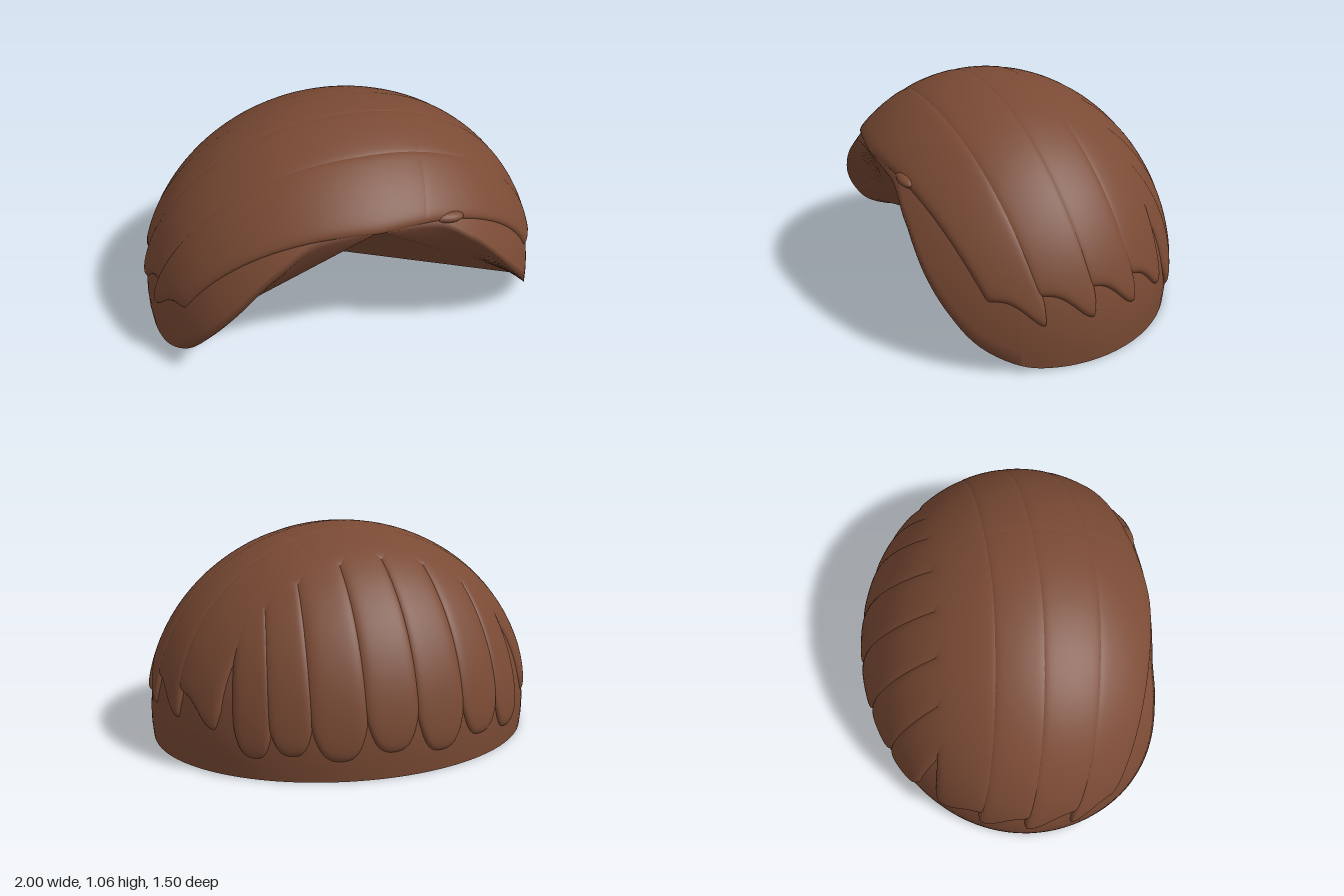
import * as THREE from 'three';

// The head is an ellipsoid centred slightly forward and up.
const C = new THREE.Vector3(0, 0.12, 0.12);
const R = new THREE.Vector3(1.01, 0.94, 0.87);
const lerp = THREE.MathUtils.lerp;
const material = new THREE.MeshStandardMaterial({ color: 0x7a4a34, roughness: 0.8, side: THREE.DoubleSide });

// Smooth grid surface from a point function f(u, v)
function sheet(name, f, nu, nv, flip = false) {
  const pos = [], index = [];
  for (let j = 0; j <= nv; j++)
    for (let i = 0; i <= nu; i++) pos.push(...f(i / nu, j / nv).toArray());
  for (let j = 0; j < nv; j++)
    for (let i = 0; i < nu; i++) {
      const a = j * (nu + 1) + i, b = a + 1, c = a + nu + 1, d = c + 1;
      if (flip) index.push(a, c, b, b, c, d);
      else index.push(a, b, c, b, d, c);
    }
  const g = new THREE.BufferGeometry();
  g.setAttribute('position', new THREE.Float32BufferAttribute(pos, 3));
  g.setIndex(index);
  g.computeVertexNormals();
  const mesh = new THREE.Mesh(g, material);
  mesh.name = name;
  return mesh;
}

// Unit direction scaled onto the head, h = 1 is the nominal surface
const onHead = (x, y, z, h) => new THREE.Vector3(x, y, z).multiplyScalar(h).multiply(R).add(C);

// Lower edge: height against azimuth in degrees, 0 = front, 180 = back
const rimCurve = new THREE.SplineCurve([
  [0, 0.76], [22, 0.715], [33, 0.6], [38, 0.52], [44, 0.4], [51, 0.27], [60, 0.13],
  [72, 0.035], [83, 0.008], [100, 0], [120, 0], [140, 0], [160, 0], [180, 0],
].map(p => new THREE.Vector2(...p)));
const SPLIT = 7 / 13; // where the rim meets the ridge at the side corner
const BASE = 0.985;

function rimAngles(t) {
  const p = rimCurve.getPoint(Math.abs(t));
  const a = THREE.MathUtils.degToRad(p.x) * Math.sign(t);
  return { a, polar: Math.acos((Math.max(p.y, 0) - C.y) / (R.y * BASE)) };
}
function basePoint(t, v) {
  const { a, polar } = rimAngles(t);
  const k = polar * v;
  return onHead(Math.sin(k) * Math.sin(a), Math.cos(k), Math.sin(k) * Math.cos(a), BASE);
}
// Straight lines from the side corners to a point on the middle plane
const corner = basePoint(SPLIT, 1);
function toCorner(x, midY, midZ) {
  const k = Math.max(0, 1 - Math.abs(x) / corner.x);
  return new THREE.Vector3(x, lerp(corner.y, midY, k), lerp(corner.z, midZ, k));
}
const ridge = x => toCorner(x, 0.25, 0.19);
const hairline = basePoint(0, 1);
const brow = x => toCorner(x, hairline.y, hairline.z);

// Rounded cross-section: full in the middle, tucked in at the borders
const round = (v, n) => Math.sqrt(Math.max(0, 1 - Math.abs(2 * v - 1) ** n));
// Spacing that packs samples near both borders
const ease = v => 0.5 - 0.5 * Math.cos(Math.PI * v);

// Side lock: sweeps from the parting over the top and down one side
const topZ = [0.755, 0.47, 0.2, -0.02, -0.3];
const lowZ = [0.5, 0.3, 0.06, -0.17, -0.38];
function sideLock(i, side) {
  const start = side > 0 ? 0.27 : -0.36;
  const edgeZ = (k, psi) => lerp(topZ[k], lowZ[k], Math.min(1.1, Math.abs(psi) / 1.35) ** 1.6);
  return sheet(side > 0 ? 'leftSideLock' : 'rightSideLock', (u0, s0) => {
    const u = ease(u0), s = ease(s0);
    const end = 1.31 + 0.15 * Math.exp(-(((u - 0.86) / (u < 0.86 ? 0.36 : 0.12)) ** 2));
    const psi = lerp(start, end, s);
    const z = lerp(edgeZ(i, psi) + (i ? 0.015 : 0), edgeZ(i + 1, psi) - 0.02, u);
    const lat = Math.asin((z - C.z) / R.z);
    const tuck = lerp(0.982, 0.97, s ** 6); // tighter to the head near the tip
    const h = lerp(tuck, 1.007 - 0.001 * i, round(u, 10) * round(s, 30));
    return onHead(Math.cos(lat) * Math.sin(psi) * side, Math.cos(lat) * Math.cos(psi), Math.sin(lat), h);
  }, 26, 44, side < 0);
}

// Back lock: falls from the crown to a blunt rounded tip
const backX = [-0.71, -0.53, -0.3, -0.05, 0.2, 0.44, 0.61, 0.74];
function backLock(i) {
  return sheet('backLock', (u0, s0) => {
    const u = ease(u0), s = ease(s0);
    const w = 2 * u - 1;
    const phi = lerp(0.3, 1.6 - 0.03 * (i % 2) - 0.06 * w * w - 0.17 * w ** 4, s);
    const x = lerp(backX[i] - 0.012, backX[i + 1] + 0.012, u) * lerp(0.8, 1, Math.sin(s * Math.PI / 2));
    const lat = Math.asin(x / R.x);
    const h = lerp(lerp(0.98, 0.97, s), 1.004, round(u, 6) * round(s, 24));
    return onHead(Math.sin(lat), Math.cos(lat) * Math.cos(phi), -Math.cos(lat) * Math.sin(phi), h);
  }, 22, 36, true);
}

export function createModel() {
  const model = new THREE.Group();
  model.name = 'hair';

  // Smooth scalp under the locks, rolling softly into the hollow front
  model.add(sheet('scalpBack', (u, v) => basePoint(lerp(SPLIT, 2 - SPLIT, u) - (u > 0.5 ? 2 : 0), v), 60, 22, true));
  model.add(sheet('scalpFront', (u, v) => {
    const t = lerp(-SPLIT, SPLIT, u);
    const row = Math.round(v * 24);
    if (row <= 22) return basePoint(t, row / 22);
    const { x } = basePoint(t, 1);
    return row === 23 ? brow(x) : ridge(x);
  }, 72, 24, true));

  // Upright lip inside the rear rim, then the underside forward to the ridge
  const lip = t => {
    const p = basePoint(t, 1);
    const back = Math.max(0, -Math.cos(rimAngles(t).a));
    return new THREE.Vector3(p.x * (1 - 0.03 * back), p.y + 0.15 * back * back, p.z + 0.05 * back);
  };
  for (const side of [1, -1]) {
    const at = u => side * lerp(SPLIT, 1, u);
    model.add(sheet('rearLip', (u, v) => basePoint(at(u), 1).lerp(lip(at(u)), v), 30, 2, side < 0));
    model.add(sheet('underside', (u, v) => {
      const p = lip(at(u));
      const x = side * Math.min(corner.x, Math.abs(p.x));
      return p.lerp(ridge(x), v);
    }, 30, 6, side < 0));
  }

  // Locks
  for (let i = 0; i < backX.length - 1; i++) model.add(backLock(i));
  for (const side of [1, -1])
    for (let i = 0; i < 4; i++) model.add(sideLock(i, side));

  // Small tuft where the parting meets the forehead
  const tuft = new THREE.Mesh(new THREE.SphereGeometry(1, 20, 14), material);
  tuft.name = 'foreheadTuft';
  tuft.scale.set(0.08, 0.026, 0.04);
  tuft.position.set(0.34, 0.735, 0.68);
  tuft.rotation.z = -0.1;
  model.add(tuft);

  return model;
}
